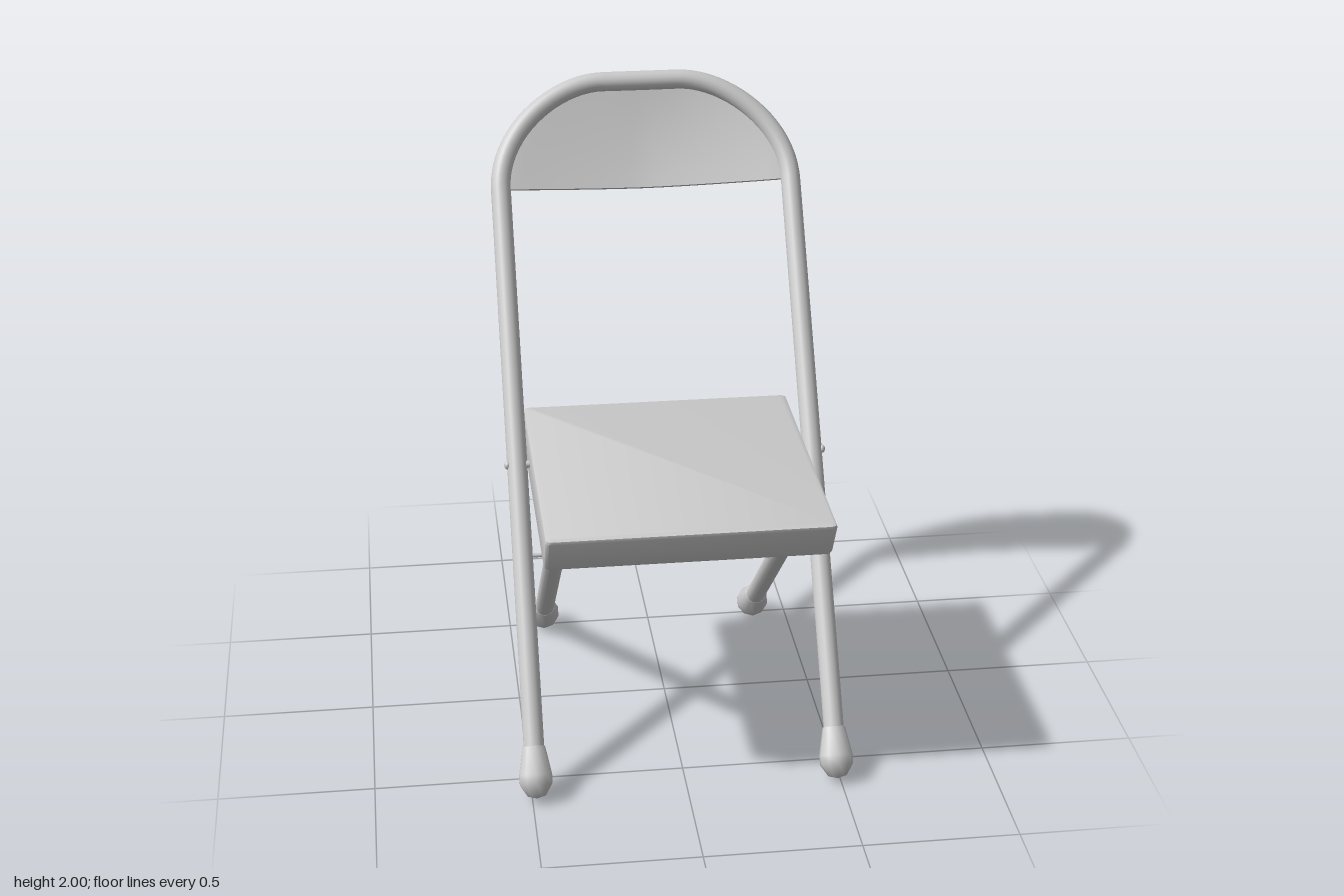
import * as THREE from 'three';
import { toCreasedNormals } from 'three/addons/utils/BufferGeometryUtils.js';

const grey = new THREE.MeshStandardMaterial({ color: 0xcccccc });
const TUBE = 0.033;

function addMesh(parent, name, geometry, x = 0, y = 0, z = 0) {
  const mesh = new THREE.Mesh(geometry, grey);
  mesh.name = name;
  mesh.position.set(x, y, z);
  parent.add(mesh);
  return mesh;
}

// Rounded rectangle in the xz plane: half width, back z, front z, height
function seatLoop([hw, back, front, y, r]) {
  const points = [];
  const corners = [[hw - r, front - r, 0], [-hw + r, front - r, 1], [-hw + r, back + r, 2], [hw - r, back + r, 3]];
  for (const [cx, cz, q] of corners) {
    for (let i = 0; i <= 4; i++) {
      const a = (q + i / 4) * Math.PI / 2;
      points.push([cx + r * Math.cos(a), y, cz + r * Math.sin(a)]);
    }
  }
  return points;
}

// Skin a stack of loops and close both ends
function loft(loops) {
  const n = loops[0].length;
  const index = [];
  for (let k = 0; k < loops.length - 1; k++) {
    for (let i = 0; i < n; i++) {
      const j = (i + 1) % n, a = k * n, b = a + n;
      index.push(a + i, a + j, b + i, a + j, b + j, b + i);
    }
  }
  const last = (loops.length - 1) * n;
  for (let i = 1; i < n - 1; i++) {
    index.push(0, i + 1, i);
    index.push(last, last + i, last + i + 1);
  }
  const geometry = new THREE.BufferGeometry();
  geometry.setAttribute('position', new THREE.Float32BufferAttribute(loops.flat(2), 3));
  geometry.setIndex(index);
  return toCreasedNormals(geometry, 0.6);
}

// Bulbous rubber foot, tip at the origin, pointing up the leg
function footGeometry() {
  const profile = [[0, 0], [0.03, 0.008], [0.054, 0.045], [0.055, 0.075], [0.037, 0.165], [0.03, 0.168]];
  return new THREE.LatheGeometry(profile.map(p => new THREE.Vector2(...p)), 10);
}

// Pin lying along x between two positions
function addPin(parent, name, radius, x0, x1, y, z) {
  const pin = addMesh(parent, name, new THREE.CylinderGeometry(radius, radius, Math.abs(x1 - x0), 12), (x0 + x1) / 2, y, z);
  pin.rotation.z = Math.PI / 2;
}

// Front legs and back hoop bent from one tube, with the back panel
function buildFrame() {
  const frame = new THREE.Group();
  frame.name = 'frontFrame';
  frame.position.set(0, 0.02, 0.645);
  frame.rotation.x = -0.601;

  const hw = 0.487, top = 2.361, R = 0.36, flat = hw - R, k = R * 0.4477;
  const v = (x, y) => new THREE.Vector3(x, y, 0);
  const path = new THREE.CurvePath();
  path.add(new THREE.LineCurve3(v(-hw, 0.08), v(-hw, top - R)));
  path.add(new THREE.CubicBezierCurve3(v(-hw, top - R), v(-hw, top - k), v(-flat - k, top), v(-flat, top)));
  path.add(new THREE.LineCurve3(v(-flat, top), v(flat, top)));
  path.add(new THREE.CubicBezierCurve3(v(flat, top), v(flat + k, top), v(hw, top - k), v(hw, top - R)));
  path.add(new THREE.LineCurve3(v(hw, top - R), v(hw, 0.08)));
  addMesh(frame, 'frameTube', new THREE.TubeGeometry(path, 180, TUBE, 16));

  // Panel trimmed to the hoop and bowed backwards along its lower edge
  const panel = new THREE.BoxGeometry(0.95, 1, 0.014, 28, 8, 1);
  const pos = panel.attributes.position;
  for (let i = 0; i < pos.count; i++) {
    const x = pos.getX(i), t = pos.getY(i) + 0.5;
    const edge = Math.max(Math.abs(x) - flat, 0);
    const bow = 0.042 * Math.max(0, 1 - Math.pow(Math.abs(x) / 0.46, 1.5)) * (1 - t * t);
    pos.setXYZ(i, x, t * Math.sqrt(R * R - edge * edge), pos.getZ(i) - bow);
  }
  addMesh(frame, 'backPanel', toCreasedNormals(panel, 0.6), 0, top - R, 0);

  for (const s of [-1, 1]) addMesh(frame, 'frontFoot', footGeometry(), s * hw, 0, 0);
  return frame;
}

// One rear leg, running up and forward into the seat
function buildRearLeg(side) {
  const leg = new THREE.Group();
  leg.name = 'rearLeg';
  leg.position.set(side * 0.38, 0.02, -0.525);
  leg.rotation.x = Math.atan2(0.915, 0.82);
  const length = 1.2;
  addMesh(leg, 'rearLegTube', new THREE.CylinderGeometry(TUBE, TUBE, length, 16), 0, 0.08 + length / 2, 0);
  addMesh(leg, 'rearFoot', footGeometry());
  return leg;
}

export function createModel() {
  const model = new THREE.Group();
  model.name = 'foldingChair';

  // Hollow seat pan: softened top edge, slanted front, open underside
  const seat = [
    [0.435, -0.25, 0.707, 0.98, 0.012],
    [0.444, -0.259, 0.717, 0.976, 0.018],
    [0.447, -0.262, 0.717, 0.966, 0.02],
    [0.447, -0.262, 0.648, 0.85, 0.02],
    [0.444, -0.259, 0.64, 0.842, 0.018],
    [0.437, -0.252, 0.632, 0.84, 0.014],
    [0.422, -0.237, 0.617, 0.84, 0.01],
    [0.422, -0.237, 0.68, 0.95, 0.01],
  ];
  addMesh(model, 'seat', loft(seat.map(seatLoop)));

  model.add(buildFrame());
  for (const s of [-1, 1]) {
    model.add(buildRearLeg(s));
    addPin(model, 'seatPivot', 0.012, s * 0.43, s * 0.522, 0.912, 0.04);
    const head = addMesh(model, 'pivotHead', new THREE.SphereGeometry(0.014, 12, 8), s * 0.519, 0.912, 0.04);
    head.scale.x = 0.8;
    addPin(model, 'legPin', 0.007, s * 0.38, s * 0.48, 0.66, 0.2);
  }
  return model;
}
